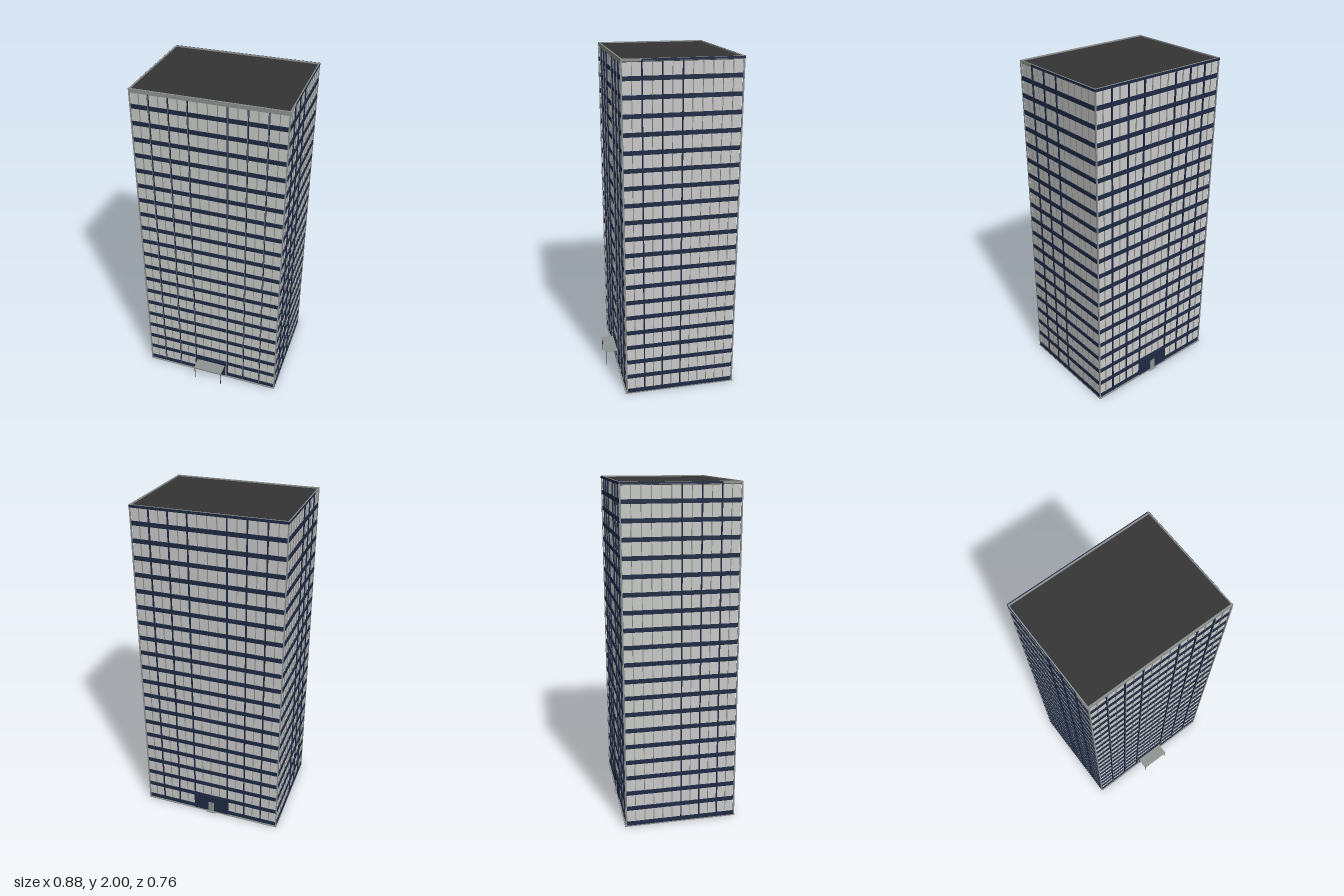
import * as THREE from 'three';

const mat = (name, color) => Object.assign(new THREE.MeshStandardMaterial({ color }), { name });

export function createModel() {
  const panel = mat('light window panel', 0xc8cac8);
  const navy = mat('navy glass', 0x1f2a44);
  const grey = mat('grey metal', 0x8f9391);
  const dark = mat('dark roofing', 0x343434);
  const model = new THREE.Group();
  model.name = 'officeTower';

  // Box given by its lower and upper limits on each axis
  const box = (name, m, x0, x1, y0, y1, z0, z1, parent = model) => {
    const mesh = new THREE.Mesh(new THREE.BoxGeometry(x1 - x0, y1 - y0, z1 - z0), m);
    mesh.position.set((x0 + x1) / 2, (y0 + y1) / 2, (z0 + z1) / 2);
    mesh.name = name;
    parent.add(mesh);
    return mesh;
  };
  const group = (name) => {
    const g = new THREE.Group();
    g.name = name;
    model.add(g);
    return g;
  };

  // Main body extents and window recess
  const X = 0.438, ZF = 0.298, ZB = -0.364, IN = 0.006, TOP = 1.988;
  box('groundSlab', grey, -X - 0.002, X + 0.002, 0, 0.006, ZB - 0.008, ZF + 0.008);
  box('windowCore', panel, -X + IN, X - IN, 0.006, TOP, ZB + IN, ZF - IN);

  // Navy floor bands
  const bands = group('floorBands');
  for (let i = 0; i < 20; i++) {
    const y = 0.018 + i * 0.099;
    box('floorBand', navy, -X, X, y - 0.012, y + 0.012, ZB, ZF, bands);
  }

  // Thin window mullions and wider projecting fins on all four walls
  const mullions = group('mullions');
  const fins = group('fins');
  for (let i = -7; i <= 7; i++) {
    const x = i * 0.055;
    box('mullion', grey, x - 0.002, x + 0.002, 0.02, TOP, ZF - IN - 0.001, ZF - 0.002, mullions);
    box('mullion', grey, x - 0.002, x + 0.002, 0.02, TOP, ZB + 0.002, ZB + IN + 0.001, mullions);
    if (i % 2 === 0 && i !== 0) {
      box('frontFin', navy, x - 0.0035, x + 0.0035, 0.006, 1.978, ZF - IN, ZF + 0.003, fins);
      box('frontFinCap', grey, x - 0.001, x + 0.001, 0.006, 1.978, ZF, ZF + 0.006, fins);
      box('backFin', navy, x - 0.0035, x + 0.0035, 0.006, TOP, ZB - 0.002, ZB + IN, fins);
    }
  }
  for (const s of [-1, 1]) {
    for (let i = 1; i <= 11; i++) {
      const z = ZF - i * 0.055;
      const fin = i === 2 || i === 4 || i === 6;
      const w = fin ? 0.0035 : 0.002;
      const a = s * (X - IN - 0.001), b = s * (fin ? X + 0.001 : X - 0.002);
      box(fin ? 'sideFin' : 'sideMullion', fin ? navy : grey, Math.min(a, b), Math.max(a, b),
        0.02, TOP, z - w, z + w, fin ? fins : mullions);
    }
    // Slim corner posts
    const c = s * (X - 0.003);
    for (const z of [ZF, ZB])
      box('cornerPost', grey, c - 0.0035, c + 0.0035, 0.006, TOP, z - 0.004, z + 0.004, mullions);
  }

  // Roof deck with raised rim
  box('roofDeck', dark, -X + 0.004, X - 0.004, 1.982, 1.993, ZB + 0.004, ZF - 0.004);
  const rim = group('roofRim');
  box('frontParapet', grey, -X - 0.002, X + 0.002, 1.977, 2, ZF - 0.007, ZF + 0.001, rim);
  box('backParapet', grey, -X, X, 1.986, 2, ZB - 0.001, ZB + 0.006, rim);
  box('backFascia', navy, -X, X, 1.986, 1.999, ZB - 0.007, ZB - 0.001, rim);
  for (const s of [-1, 1]) {
    const c = s * (X - 0.003), f = s * (X + 0.001);
    box('sideParapet', grey, c - 0.003, c + 0.003, 1.986, 2, ZB, ZF, rim);
    box('sideFascia', navy, f - 0.001, f + 0.001, 1.988, 1.999, ZB, 0.19, rim);
  }

  // Front entrance with double doors and side lights
  const entry = group('frontEntrance');
  box('entrancePanel', navy, -0.11, 0.11, 0.006, 0.118, ZF - 0.004, ZF + 0.004, entry);
  for (const s of [-1, 1]) {
    box('door', grey, s * 0.03 - 0.028, s * 0.03 + 0.028, 0.007, 0.09, ZF, ZF + 0.007, entry);
    box('entranceFrame', grey, s * 0.1 - 0.003, s * 0.1 + 0.003, 0.007, 0.09, ZF, ZF + 0.007, entry);
    const post = new THREE.Mesh(new THREE.CylinderGeometry(0.002, 0.002, 0.094, 8), dark);
    post.position.set(s * 0.09, 0.047, 0.376);
    post.name = 'canopyPost';
    entry.add(post);
  }
  box('canopy', grey, -0.094, 0.094, 0.093, 0.098, ZF, 0.38, entry);

  // Back entrance with single door and small step
  const back = group('backEntrance');
  box('backPanel', navy, -0.115, 0.115, 0.006, 0.118, ZB - 0.004, ZB + 0.004, back);
  box('backDoor', grey, -0.018, 0.018, 0.007, 0.075, ZB - 0.007, ZB, back);
  box('backStep', grey, -0.03, 0.03, 0, 0.005, -0.381, ZB, back);
  return model;
}
